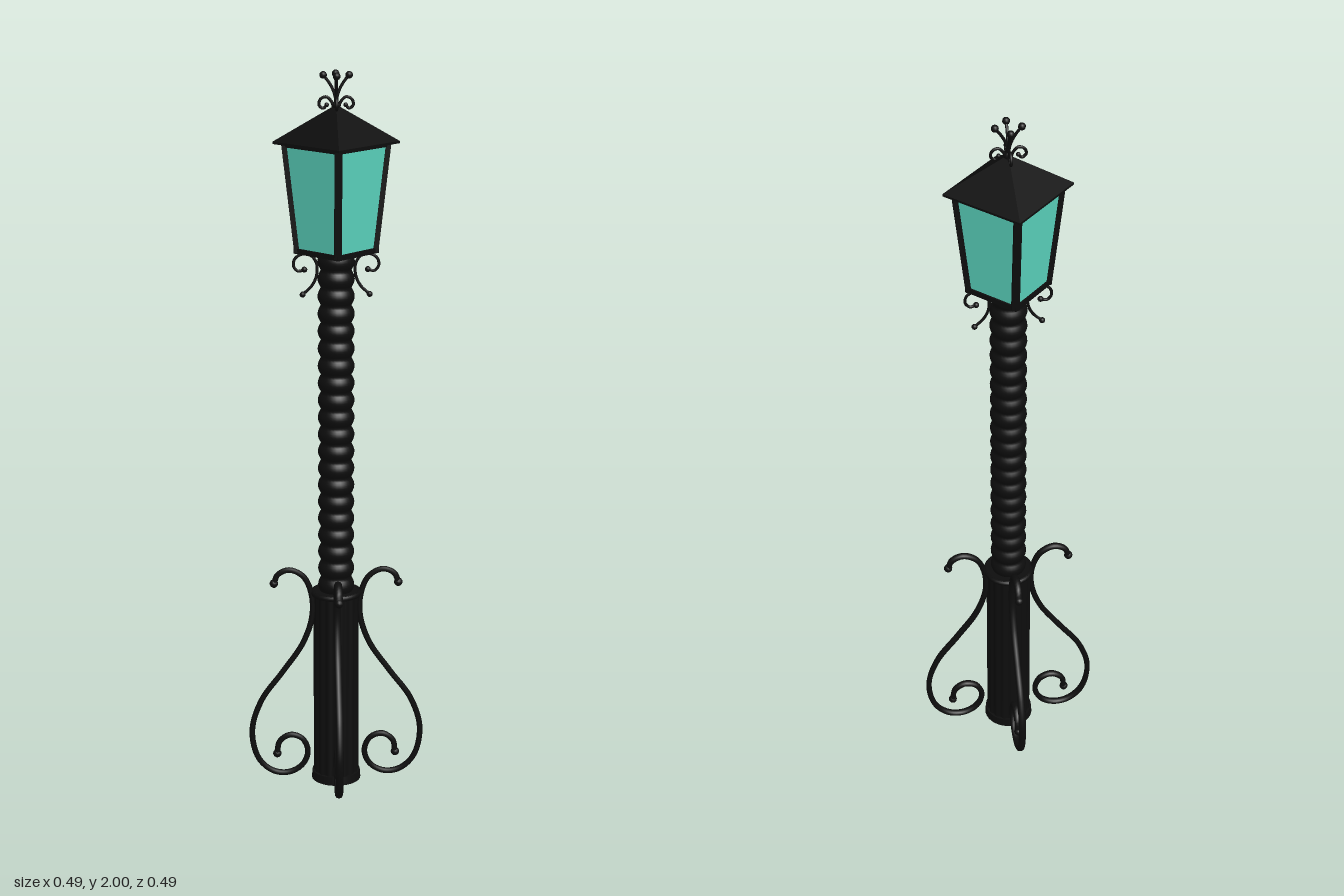
import * as THREE from 'three';

const black = new THREE.MeshStandardMaterial({ color: 0x0d0d0d });
black.name = 'blackIron';
const teal = new THREE.MeshStandardMaterial({ color: 0x5cd6c0 });
teal.name = 'tealGlass';

function add(parent, name, geometry, material = black, y = 0) {
  const mesh = new THREE.Mesh(geometry, material);
  mesh.name = name;
  mesh.position.y = y;
  parent.add(mesh);
  return mesh;
}

// Four-sided prism or pyramid with its corners on the x and z axes
function square(top, bottom, height, open = false) {
  const g = new THREE.CylinderGeometry(top, bottom, height, 4, 1, open).toNonIndexed();
  g.computeVertexNormals();
  return g;
}

// Bent iron rod in the xy plane, with a ball at each listed tip
function scroll(name, points, radius, ballRadius, tips, widen = 1) {
  const group = new THREE.Group();
  group.name = name;
  const path = points.map(([x, y]) => new THREE.Vector3(x, y, 0));
  const curve = new THREE.CatmullRomCurve3(path);
  add(group, name + 'Rod', new THREE.TubeGeometry(curve, points.length * 7, radius, 8)).scale.z = widen;
  for (const t of tips) {
    const ball = add(group, name + 'Tip', new THREE.SphereGeometry(ballRadius, 12, 8));
    ball.position.copy(curve.getPoint(t));
  }
  return group;
}

// Repeats a scroll around the post
function around(parent, count, make) {
  for (let i = 0; i < count; i++) {
    const part = make();
    part.rotation.y = (i * Math.PI * 2) / count;
    parent.add(part);
  }
}

export function createModel() {
  const model = new THREE.Group();
  model.name = 'streetLamp';

  // Fluted base column with foot and collar
  const fluted = new THREE.CylinderGeometry(0.061, 0.061, 0.54, 96);
  const pos = fluted.attributes.position;
  for (let i = 0; i < pos.count; i++) {
    const k = 1 + 0.035 * Math.cos(16 * Math.atan2(pos.getZ(i), pos.getX(i)));
    pos.setXYZ(i, pos.getX(i) * k, pos.getY(i), pos.getZ(i) * k);
  }
  fluted.computeVertexNormals();
  add(model, 'baseColumn', fluted, black, 0.29);
  add(model, 'foot', new THREE.CylinderGeometry(0.067, 0.069, 0.024, 32), black, 0.017);
  add(model, 'collar', new THREE.CylinderGeometry(0.066, 0.066, 0.014, 32), black, 0.56);
  add(model, 'collarRing', new THREE.TorusGeometry(0.063, 0.008, 8, 32).rotateX(Math.PI / 2), black, 0.56);

  // Ribbed post
  const profile = [];
  const ribs = 20, steps = 8;
  for (let i = 0; i <= ribs * steps; i++) {
    const bulge = Math.abs(Math.sin((Math.PI * i) / steps));
    profile.push(new THREE.Vector2(0.041 + 0.009 * bulge, 0.56 + (0.96 * i) / (ribs * steps)));
  }
  add(model, 'ribbedPost', new THREE.LatheGeometry(profile, 28));

  // Large scrolls around the base
  const baseScroll = [
    [0.173, 0.587], [0.162, 0.613], [0.13, 0.626], [0.092, 0.607], [0.07, 0.56], [0.067, 0.49],
    [0.093, 0.41], [0.15, 0.325], [0.21, 0.24], [0.237, 0.15], [0.22, 0.065], [0.18, 0.026],
    [0.135, 0.02], [0.096, 0.042], [0.08, 0.083], [0.096, 0.122], [0.13, 0.134], [0.16, 0.114], [0.167, 0.078],
  ];
  around(model, 4, () => scroll('baseScroll', baseScroll, 0.008, 0.012, [0, 1], 1.3));

  // Lantern: floor, glass, corner bars, rims and roof
  const y0 = 1.52, y1 = 1.81, r0 = 0.11, r1 = 0.143;
  const lantern = new THREE.Group();
  lantern.name = 'lantern';
  model.add(lantern);
  add(lantern, 'lanternFloor', square(r0 + 0.004, r0 + 0.004, 0.014), black, y0 + 0.004);
  add(lantern, 'glass', square(r1 - 0.005, r0 - 0.005, y1 - y0, true), teal, (y0 + y1) / 2);
  const lean = Math.atan2(r1 - r0, y1 - y0);
  around(lantern, 4, () => {
    const side = new THREE.Group();
    side.name = 'lanternCorner';
    const bar = add(side, 'cornerBar', new THREE.BoxGeometry(0.014, Math.hypot(r1 - r0, y1 - y0), 0.02));
    bar.position.set((r0 + r1) / 2 - 0.005, (y0 + y1) / 2, 0);
    bar.rotation.z = -lean;
    return side;
  });
  add(lantern, 'topRim', square(r1 + 0.002, r1 + 0.001, 0.01), black, y1 - 0.003);
  add(lantern, 'eave', square(0.168, 0.168, 0.006), black, y1 + 0.003);
  add(lantern, 'roof', square(0.008, 0.168, 0.092), black, y1 + 0.052);

  // Small curled brackets under the lantern, left and right only
  const bracket = [
    [0.09, 1.405], [0.066, 1.428], [0.053, 1.455], [0.052, 1.488], [0.066, 1.51], [0.09, 1.515],
    [0.11, 1.503], [0.114, 1.483], [0.102, 1.469], [0.085, 1.473],
  ];
  around(model, 2, () => scroll('bracketScroll', bracket, 0.004, 0.008, [0, 1]));

  // Finial: four flared stems with balls above four small curls
  const stem = [[0, 1.89], [0.002, 1.93], [0.01, 1.955], [0.022, 1.975], [0.034, 1.99]];
  const curl = [
    [0.006, 1.9], [0.012, 1.92], [0.026, 1.933], [0.041, 1.927], [0.045, 1.912], [0.034, 1.903], [0.025, 1.912],
  ];
  around(model, 4, () => scroll('finialStem', stem, 0.004, 0.01, [1]));
  around(model, 4, () => scroll('finialCurl', curl, 0.004, 0.006, [1]));
  add(model, 'finialHub', new THREE.SphereGeometry(0.011, 12, 8), black, 1.91);

  return model;
}
